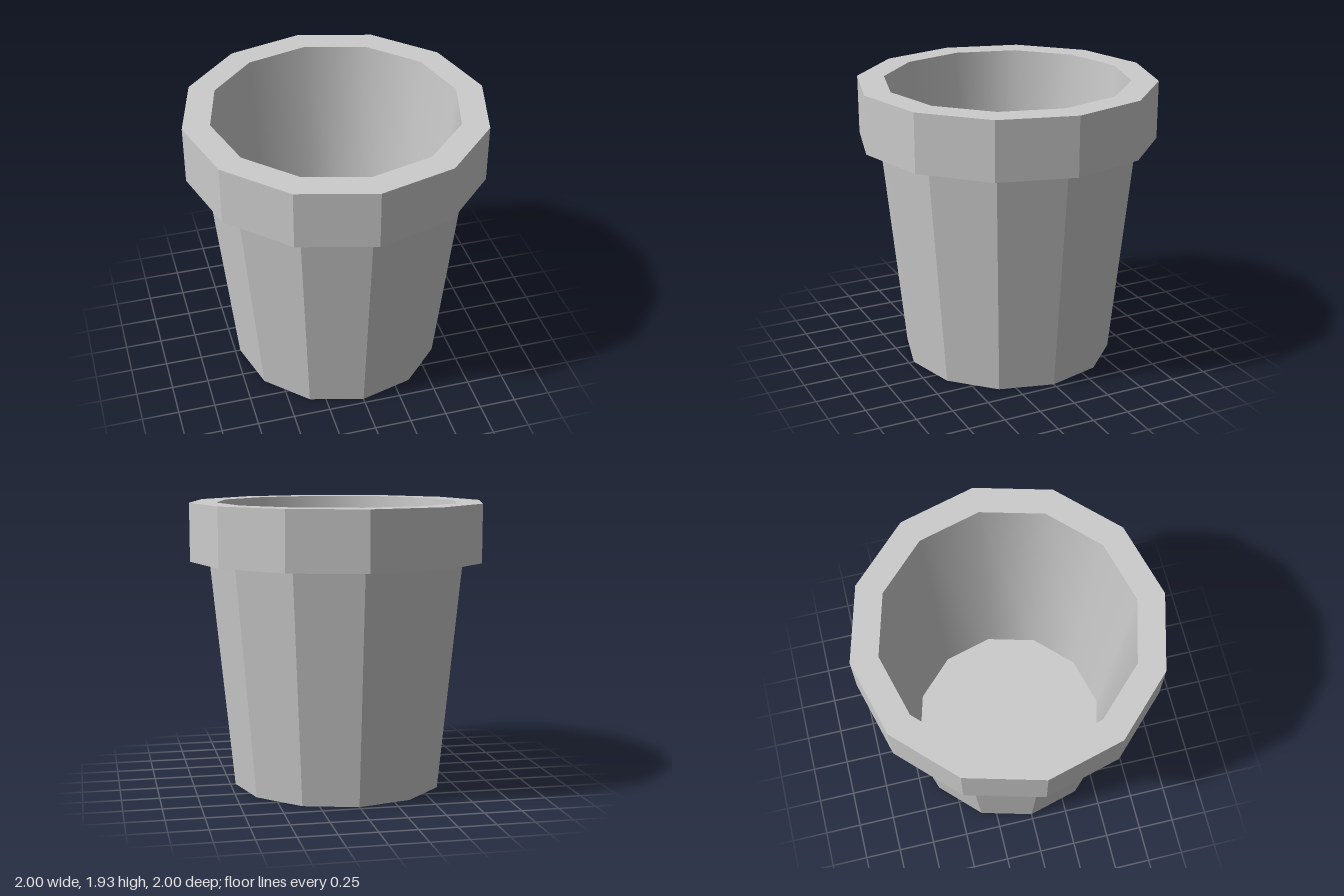
import * as THREE from 'three';

const SIDES = 12;

// Revolves a [radius, height] profile; upward runs face outward.
function ring(name, profile, flatShading) {
  const points = profile.map(([r, y]) => new THREE.Vector2(r, y));
  const material = new THREE.MeshStandardMaterial({ color: 0xcccccc, flatShading });
  const mesh = new THREE.Mesh(new THREE.LatheGeometry(points, SIDES), material);
  mesh.name = name;
  return mesh;
}

// Closed disc with its corners aligned to the rings.
function disc(name, radius, y, facing) {
  const geometry = new THREE.CircleGeometry(radius, SIDES);
  geometry.rotateX(-facing * Math.PI / 2);
  const mesh = new THREE.Mesh(geometry, new THREE.MeshStandardMaterial({ color: 0xcccccc, flatShading: true }));
  mesh.name = name;
  mesh.position.y = y;
  return mesh;
}

export function createModel() {
  const pot = new THREE.Group();
  pot.name = 'flowerPot';

  // Tapered outer wall and its base
  pot.add(ring('outerWall', [[0.715, 0], [0.87, 1.54]], true));
  pot.add(disc('base', 0.715, 0, -1));

  // Thick collar: underside, outer band and top lip
  pot.add(ring('rim', [[0.87, 1.54], [1, 1.54], [1, 1.93], [0.82, 1.93]], true));

  // Hollow inside, softly shaded, with a flat floor
  pot.add(ring('innerWall', [[0.82, 1.93], [0.68, 0.1]], false));
  pot.add(disc('innerFloor', 0.68, 0.1, 1));

  return pot;
}
